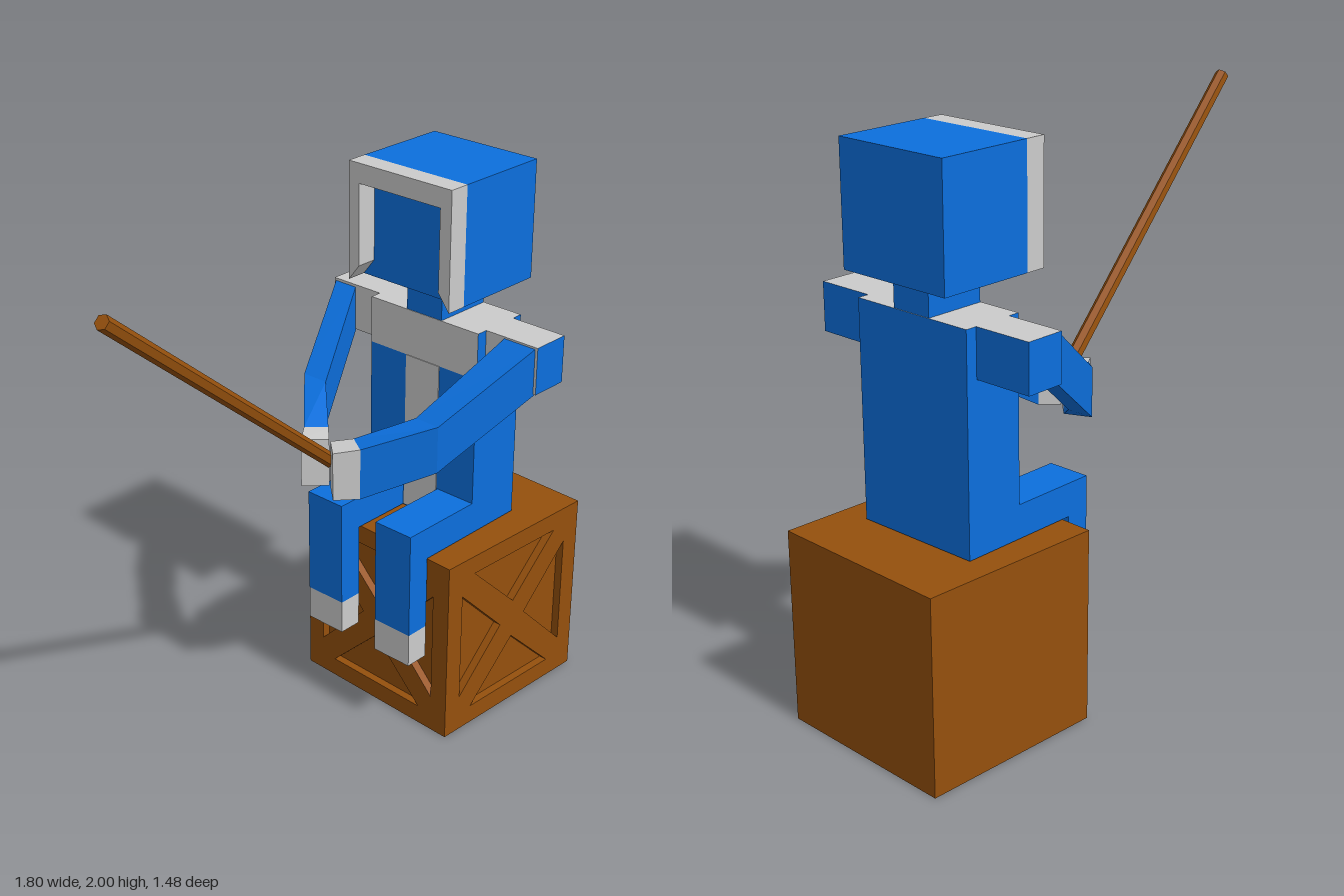
import * as THREE from 'three';

const mat = (color) => new THREE.MeshStandardMaterial({ color, flatShading: true });
const blue = mat(0x0c6fdd), grey = mat(0xcccccc), brown = mat(0x95500d);
// box faces: +x, -x, +y, -y, +z, -z
const shirtTop = [blue, blue, grey, blue, grey, blue];

function add(parent, name, geometry, material, x = 0, y = 0, z = 0) {
  const mesh = new THREE.Mesh(geometry, material);
  mesh.name = name;
  mesh.position.set(x, y, z);
  parent.add(mesh);
  return mesh;
}

// box given by its extents in y and z, centred on x
function box(parent, name, material, x, width, y0, y1, z0, z1) {
  return add(parent, name, new THREE.BoxGeometry(width, y1 - y0, z1 - z0), material,
    x, (y0 + y1) / 2, (z0 + z1) / 2);
}

// limb through upright rectangles [ax, az, bx, bz, bottom, top]
function loft(sections) {
  const rings = sections.map(([ax, az, bx, bz, y0, y1]) =>
    [[ax, y0, az], [bx, y0, bz], [bx, y1, bz], [ax, y1, az]]);
  const pos = [];
  const quad = (a, b, c, d) => pos.push(...a, ...b, ...c, ...a, ...c, ...d);
  for (let i = 0; i < rings.length - 1; i++) {
    const p = rings[i], q = rings[i + 1];
    for (let k = 0; k < 4; k++) quad(p[k], p[(k + 1) % 4], q[(k + 1) % 4], q[k]);
  }
  const first = rings[0], last = rings[rings.length - 1];
  quad(first[3], first[2], first[1], first[0]);
  quad(last[0], last[1], last[2], last[3]);
  const geometry = new THREE.BufferGeometry();
  geometry.setAttribute('position', new THREE.Float32BufferAttribute(pos, 3));
  geometry.computeVertexNormals();
  return geometry;
}

function polygon(points, Type = THREE.Shape) {
  return new Type(points.map(([x, y]) => new THREE.Vector2(x, y)));
}

function makeCrate() {
  const crate = new THREE.Group();
  crate.name = 'crate';
  const s = 0.695, h = 0.7, d = 0.03;
  add(crate, 'crateCore', new THREE.BoxGeometry(s - d, h, s - d), brown, -d / 2, h / 2, -d / 2);
  // panel with four triangular recesses that leave a cross brace
  const panel = polygon([[-s / 2, -h / 2], [s / 2, -h / 2], [s / 2, h / 2], [-s / 2, h / 2]]);
  for (const m of [-1, 1]) {
    panel.holes.push(polygon([[-0.214, 0.28 * m], [0.214, 0.28 * m], [0, 0.075 * m]], THREE.Path));
    panel.holes.push(polygon([[0.275 * m, -0.21], [0.275 * m, 0.21], [0.065 * m, 0]], THREE.Path));
  }
  const geometry = new THREE.ExtrudeGeometry(panel, { depth: d, bevelEnabled: false });
  add(crate, 'cratePanelFront', geometry, brown, 0, h / 2, s / 2 - d);
  add(crate, 'cratePanelSide', geometry, brown, s / 2 - d, h / 2, 0).rotation.y = Math.PI / 2;
  crate.position.set(0.425, 0, -0.265);
  crate.rotation.y = -Math.PI / 3;
  return crate;
}

function makeBody() {
  const body = new THREE.Group();
  body.name = 'body';
  // torso, shoulders and neck
  box(body, 'torso', blue, 0, 0.48, 0.705, 1.3, -0.114, 0.114);
  box(body, 'chest', shirtTop, 0, 0.48, 1.3, 1.47, -0.114, 0.114);
  box(body, 'shirtStripe', grey, 0, 0.15, 0.71, 1.3, 0.1, 0.117);
  for (const m of [-1, 1]) {
    box(body, 'shoulder', shirtTop, m * 0.3485, 0.217, 1.3, 1.47, -0.072, 0.072);
    // seated legs
    box(body, 'thigh', blue, m * 0.16, 0.16, 0.705, 0.825, 0.114, 0.44);
    box(body, 'shin', blue, m * 0.16, 0.16, 0.43, 0.705, 0.35, 0.44);
    box(body, 'foot', grey, m * 0.16, 0.16, 0.305, 0.43, 0.35, 0.44);
  }
  box(body, 'neck', blue, 0, 0.155, 1.47, 1.58, -0.112, 0.112);

  // head with a face frame that is open at the chin
  const zBack = -0.184, zFace = 0.174, w = 0.2225;
  box(body, 'head', blue, 0, 2 * w, 1.58, 2, zBack, zFace);
  const frame = polygon([[-w, 1.58], [-w + 0.047, 1.64], [-w + 0.047, 1.93], [w - 0.047, 1.93],
    [w - 0.047, 1.64], [w, 1.58], [w, 2], [-w, 2]]);
  add(body, 'faceFrame', new THREE.ExtrudeGeometry(frame, { depth: 0.076, bevelEnabled: false }),
    grey, 0, 0, zFace);

  body.position.set(0.4125, 0, -0.265);
  body.rotation.y = THREE.MathUtils.degToRad(-57.8);
  return body;
}

export function createModel() {
  const model = new THREE.Group();
  model.name = 'seatedFigure';
  model.add(makeCrate(), makeBody());

  // arms: shoulder, elbow, wrist, fingertips
  const arms = {
    left: [[0.53, 0.04, 0.6, 0.15, 1.3, 1.47], [0.2, 0.105, 0.25, 0.19, 1.07, 1.24],
      [0, 0.055, 0, 0.14, 0.98, 1.165], [-0.075, 0.035, -0.09, 0.125, 0.98, 1.155]],
    right: [[0.12, -0.62, 0.17, -0.54, 1.3, 1.47], [-0.075, -0.33, -0.02, -0.245, 1.07, 1.24],
      [-0.14, -0.07, -0.06, -0.05, 0.98, 1.165], [-0.168, 0, -0.075, 0.02, 0.98, 1.155]],
  };
  for (const [side, s] of Object.entries(arms)) {
    add(model, side + 'Arm', loft(s.slice(0, 3)), blue);
    add(model, side + 'Hand', loft(s.slice(2)), grey);
  }

  // pole held between the hands
  const from = new THREE.Vector3(-0.065, 1.07, 0.015), to = new THREE.Vector3(-0.88, 1.955, 0.715);
  const dir = to.clone().sub(from);
  const pole = add(model, 'pole', new THREE.CylinderGeometry(0.025, 0.025, dir.length(), 6), brown);
  pole.position.copy(from).lerp(to, 0.5);
  pole.quaternion.setFromUnitVectors(new THREE.Vector3(0, 1, 0), dir.normalize());
  return model;
}
